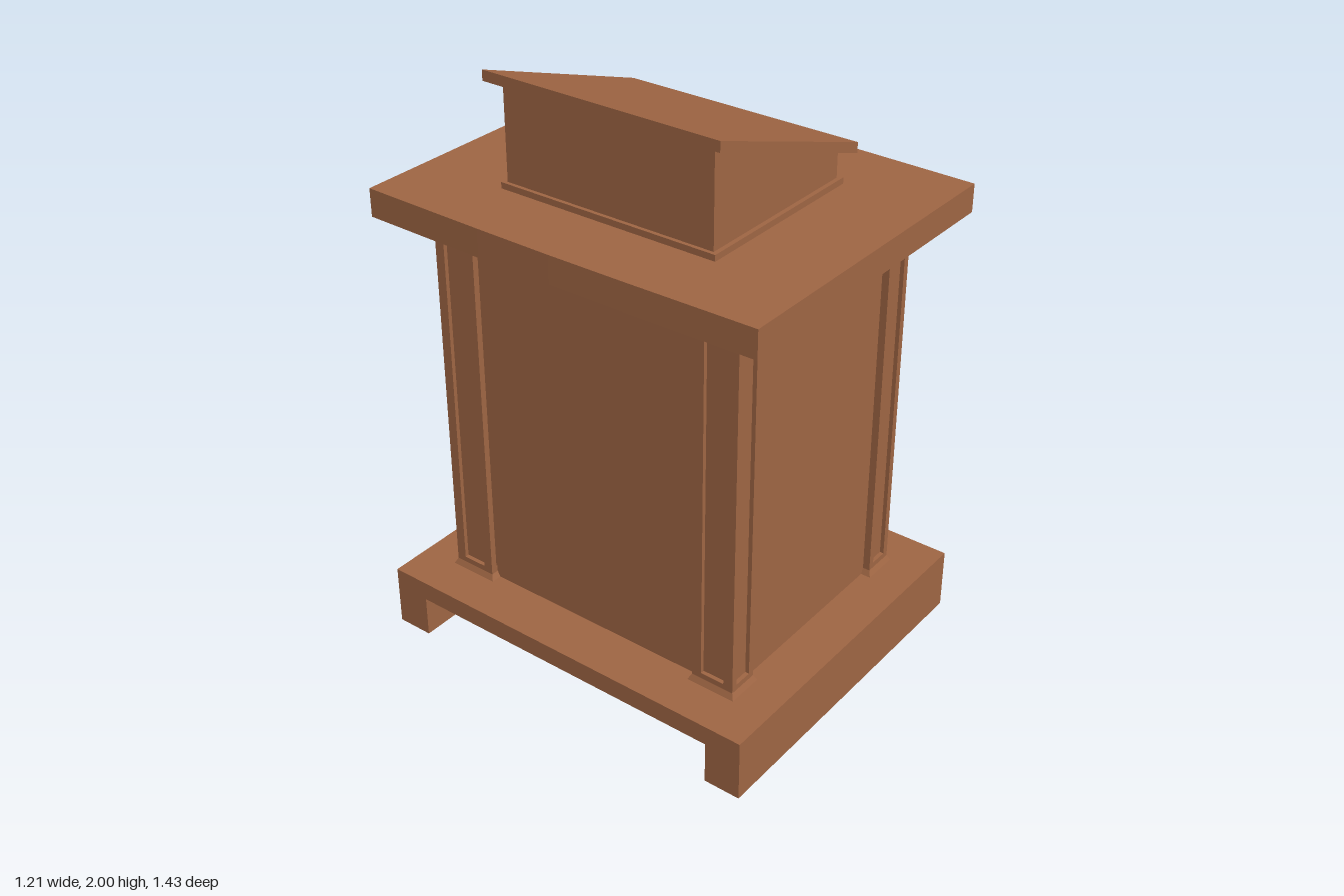
import * as THREE from 'three';

const wood = new THREE.MeshStandardMaterial({ color: 0x9e6543, flatShading: true });

function add(parent, name, geometry, x = 0, y = 0, z = 0) {
  const mesh = new THREE.Mesh(geometry, wood);
  mesh.name = name;
  mesh.position.set(x, y, z);
  parent.add(mesh);
  return mesh;
}

// Box given by its footprint and its bottom and top heights
function block(parent, name, w, d, y0, y1, x = 0, z = 0) {
  return add(parent, name, new THREE.BoxGeometry(w, y1 - y0, d), x, (y0 + y1) / 2, z);
}

// Box whose top and bottom spread outwards by separate amounts
function flare(parent, name, w, d, y0, y1, bottom, top) {
  const g = new THREE.BoxGeometry(w, y1 - y0, d);
  const p = g.attributes.position;
  for (let i = 0; i < p.count; i++) {
    const grow = p.getY(i) > 0 ? top : bottom;
    p.setX(i, p.getX(i) + Math.sign(p.getX(i)) * grow);
    p.setZ(i, p.getZ(i) + Math.sign(p.getZ(i)) * grow);
  }
  g.computeVertexNormals();
  return add(parent, name, g, 0, (y0 + y1) / 2, 0);
}

function outline(points, Type = THREE.Shape) {
  return new Type(points.map(([x, y]) => new THREE.Vector2(x, y)));
}

function extrude(points, depth, hole) {
  const shape = outline(points);
  if (hole) shape.holes.push(outline(hole, THREE.Path));
  return new THREE.ExtrudeGeometry(shape, { depth, bevelEnabled: false });
}

const rect = (w, y0, y1) => [[-w / 2, y0], [w / 2, y0], [w / 2, y1], [-w / 2, y1]];

// Corner post: recessed panels in a raised frame, flared foot and head
function cornerPost(x, z) {
  const post = new THREE.Group();
  post.name = 'cornerPost';
  const W = 0.11, D = 0.155, r = 0.014, y0 = 0.235, y1 = 1.47;
  block(post, 'postCore', W - 2 * r, D - 2 * r, y0, y1);
  for (const s of [1, -1]) {
    const front = add(post, 'postFrame',
      extrude(rect(W, y0, y1), r, rect(0.066, 0.255, 1.455)), 0, 0, s * (D / 2 - r));
    const side = add(post, 'postFrame',
      extrude(rect(D - 2 * r, y0, y1), r, rect(0.086, 0.255, 1.455)), s * (W / 2 - r), 0, 0);
    front.rotation.y = s > 0 ? 0 : Math.PI;
    side.rotation.y = s * Math.PI / 2;
  }
  flare(post, 'postFoot', W, D, 0.215, y0, 0.01, 0);
  flare(post, 'postHead', W, D, y1, 1.525, 0, 0.01);
  post.position.set(x, 0, z);
  return post;
}

export function createModel() {
  const model = new THREE.Group();
  model.name = 'lectern';

  // Base: a slab on two runners, open between them
  const base = extrude([
    [-0.715, 0], [-0.587, 0], [-0.587, 0.147], [0.587, 0.147],
    [0.587, 0], [0.715, 0], [0.715, 0.215], [-0.715, 0.215],
  ], 1.21);
  base.translate(0, 0, -0.605);
  base.rotateY(Math.PI / 2);
  add(model, 'base', base);

  // Cabinet body and corner posts
  block(model, 'body', 0.846, 1.1, 0.215, 1.525);
  for (const x of [-0.395, 0.395])
    for (const z of [-0.4975, 0.4975]) model.add(cornerPost(x, z));

  // Counter top with slightly bowed sides
  const top = extrude([
    [-0.57, -0.717], [0.57, -0.717], [0.577, -0.27], [0.579, 0], [0.577, 0.27],
    [0.57, 0.717], [-0.57, 0.717], [-0.577, 0.27], [-0.579, 0], [-0.577, -0.27],
  ], 0.095);
  top.rotateX(-Math.PI / 2);
  add(model, 'counterTop', top, 0, 1.525, 0);

  // Reading desk: plinth, wedge box and sloping board
  block(model, 'deskPlinth', 0.656, 0.8, 1.62, 1.641);
  add(model, 'deskBox', extrude(
    [[-0.315, 1.641], [0.313, 1.641], [0.313, 1.74], [-0.315, 1.958]], 0.77), 0, 0, -0.385);
  add(model, 'deskBoard', extrude(
    [[-0.353, 1.965], [0.351, 1.72], [0.351, 1.756], [-0.353, 2]], 0.86), 0, 0, -0.43);

  return model;
}
